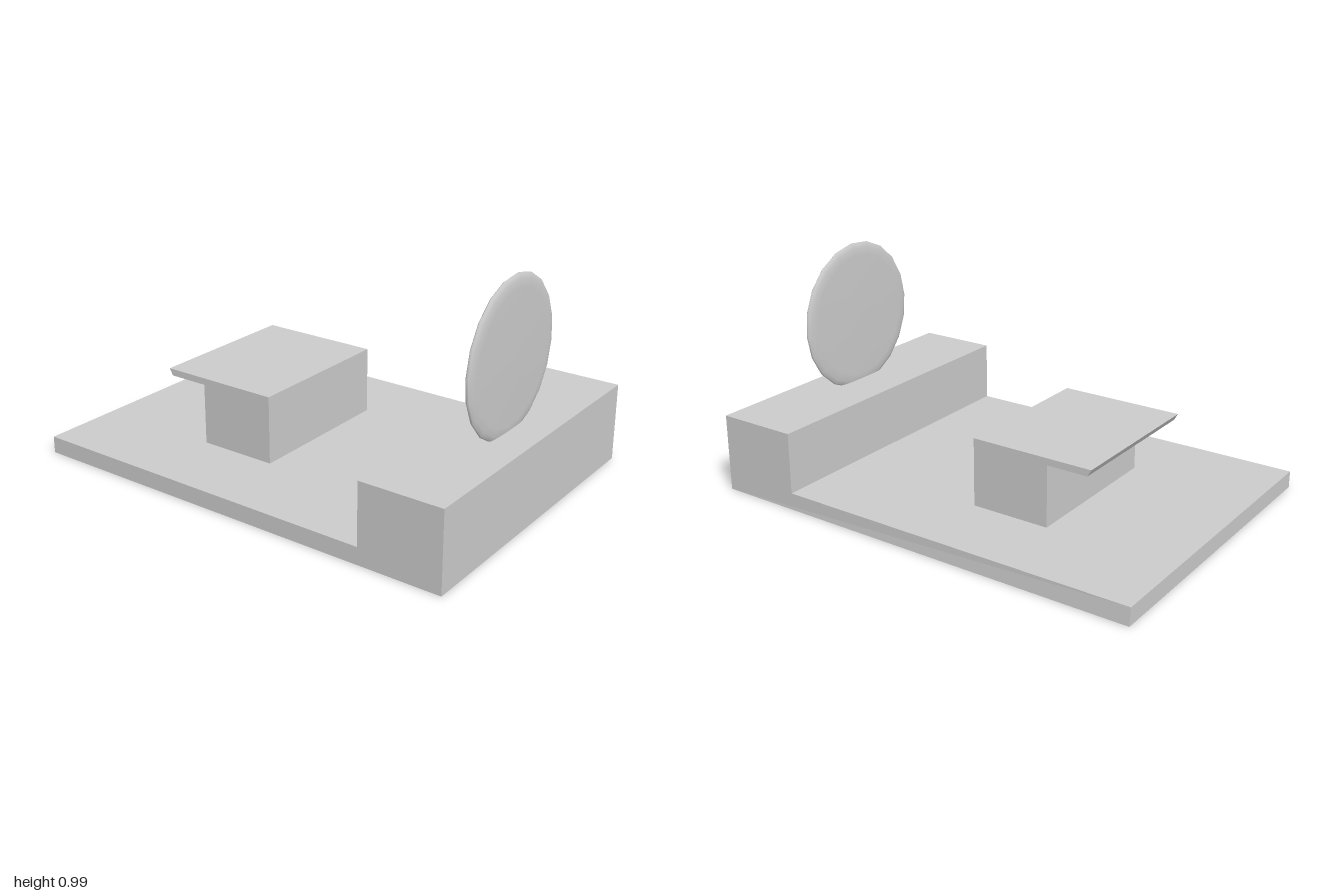
import * as THREE from 'three';

const material = new THREE.MeshStandardMaterial({ color: 0xcccccc });

// Extrude a side profile of [z, y] points from x0 to x1.
function extrudeAcross(name, profile, x0, x1) {
  const shape = new THREE.Shape(profile.map(([z, y]) => new THREE.Vector2(-z, y)));
  const geometry = new THREE.ExtrudeGeometry(shape, { depth: x1 - x0, bevelEnabled: false });
  geometry.translate(0, 0, x0).rotateY(Math.PI / 2);
  const mesh = new THREE.Mesh(geometry, material);
  mesh.name = name;
  return mesh;
}

export function createModel() {
  const group = new THREE.Group();
  group.name = 'discOnStepModel';

  // Floor slab with the raised step along the front edge
  const base = extrudeAcross('baseWithStep', [
    [1, 0], [1, 0.345], [0.635, 0.345], [0.635, 0.075], [-1, 0.075], [-1, 0],
  ], -0.707, 0.7);
  // The lower back left corner flares out slightly
  const p = base.geometry.attributes.position;
  for (let i = 0; i < p.count; i++) {
    if (p.getX(i) > 0 && p.getY(i) < 0.01 && p.getZ(i) < -0.9) p.setX(i, 0.707);
  }
  base.geometry.computeVertexNormals();
  group.add(base);

  // Desk block with its top overhanging to the rear
  group.add(extrudeAcross('desk', [
    [-0.065, 0.07], [-0.065, 0.375], [-0.62, 0.375], [-0.603, 0.345],
    [-0.42, 0.345], [-0.42, 0.07],
  ], -0.353, 0.354));

  // Thin upright disc with a rounded rim, sunk a little into the step
  const rim = [
    [0, -0.018], [0.28, -0.016], [0.315, -0.012], [0.332, -0.006], [0.337, 0],
    [0.332, 0.006], [0.315, 0.012], [0.28, 0.016], [0, 0.018],
  ].map(([r, y]) => new THREE.Vector2(r, y));
  const disc = new THREE.Mesh(new THREE.LatheGeometry(rim, 20), material);
  disc.name = 'disc';
  disc.geometry.rotateX(Math.PI / 2);
  disc.position.set(0.003, 0.649, 0.848);
  disc.rotation.set(0.008, 0.005, -0.06);
  group.add(disc);

  return group;
}
